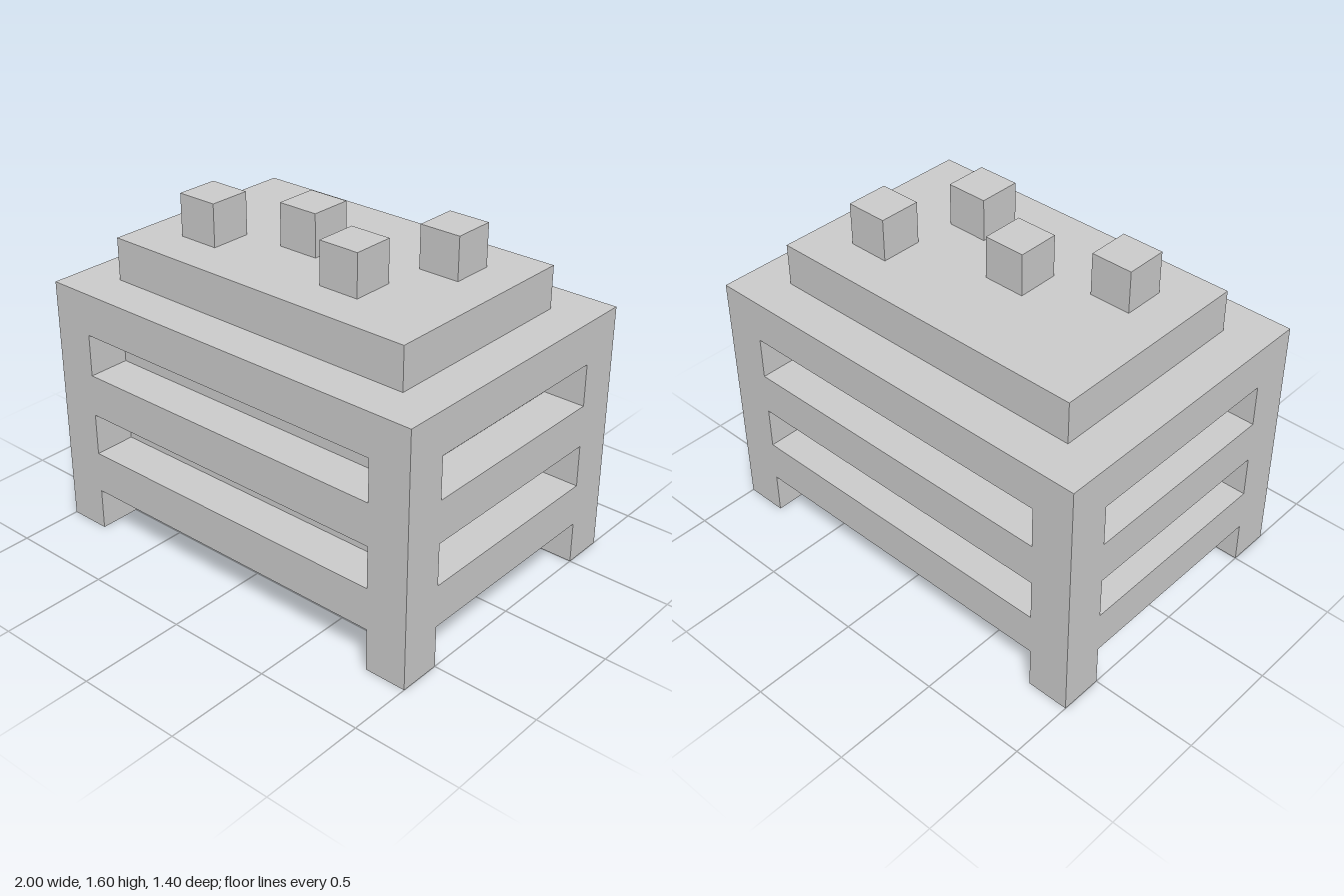
import * as THREE from 'three';

const material = new THREE.MeshStandardMaterial({ color: 0xcccccc, flatShading: true });

export function createModel() {
  const model = new THREE.Group();

  // Box standing on height y, centred on x and z
  const addBox = (name, w, h, d, x, y, z) => {
    const mesh = new THREE.Mesh(new THREE.BoxGeometry(w, h, d), material);
    mesh.name = name;
    mesh.position.set(x, y + h / 2, z);
    model.add(mesh);
  };

  // Inner body, set back behind the rails
  addBox('body', 1.6, 1, 1, 0, 0.2, 0);

  // Corner posts, which run down to form the feet
  for (const x of [-0.9, 0.9])
    for (const z of [-0.6, 0.6]) addBox('cornerPost', 0.2, 1.2, 0.2, x, 0, z);

  // Three tiers of rails between the posts, leaving recessed slots
  for (const y of [0.2, 0.6, 1.0])
    for (const side of [-1, 1]) {
      addBox('longRail', 1.6, 0.2, 0.2, 0, y, side * 0.6);
      addBox('sideRail', 0.2, 0.2, 1, side * 0.9, y, 0);
    }

  // Raised top with four scattered blocks
  addBox('topSlab', 1.6, 0.2, 1, 0, 1.2, 0);
  for (const [x, z] of [[-0.5, 0.2], [-0.1, 0], [0.3, 0.2], [0.5, -0.2]])
    addBox('topBlock', 0.2, 0.2, 0.2, x, 1.4, z);

  return model;
}
